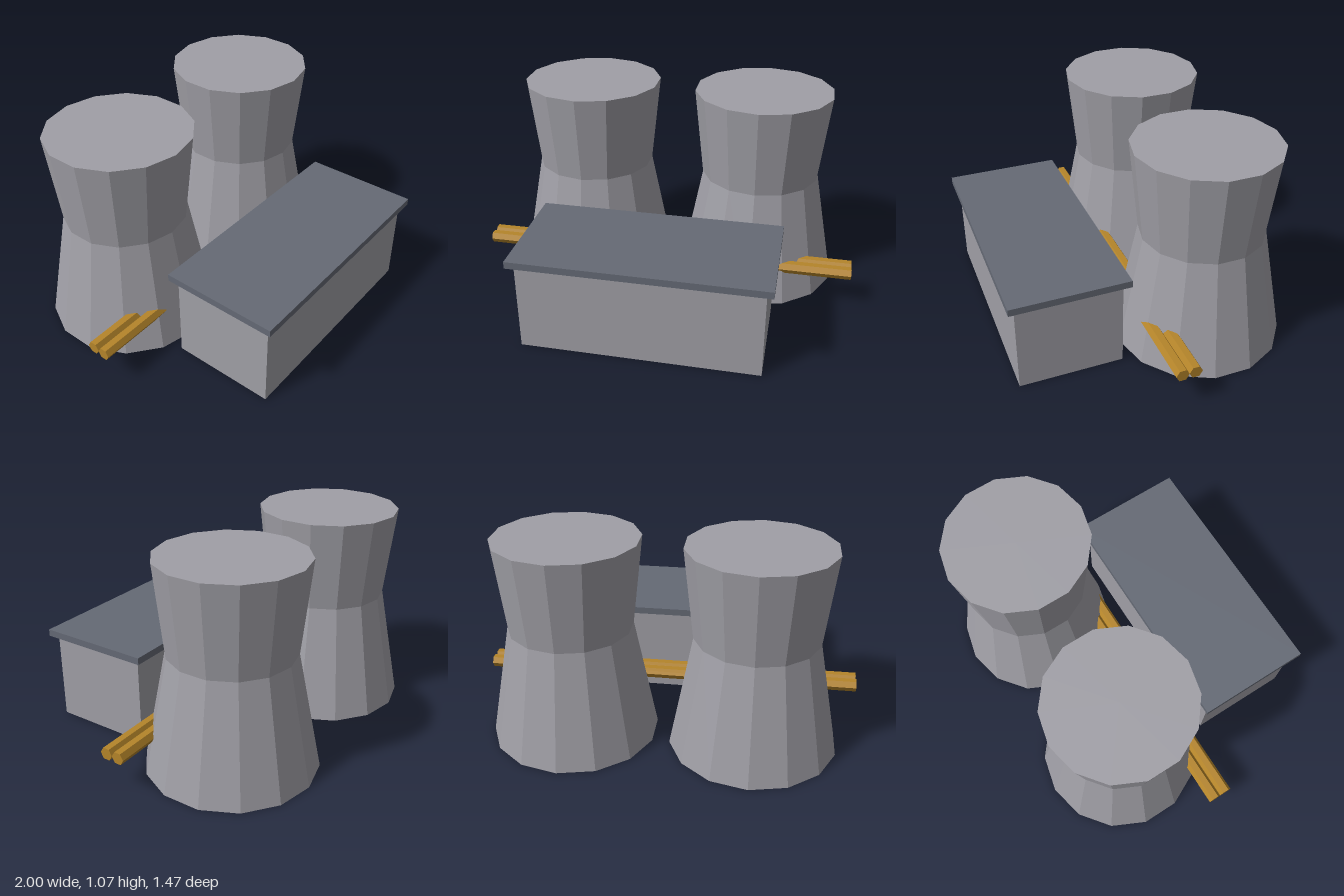
import * as THREE from 'three';

export function createModel() {
  const model = new THREE.Group();
  model.name = 'powerPlant';

  const material = (name, color) => {
    const m = new THREE.MeshStandardMaterial({ color, flatShading: true });
    m.name = name;
    return m;
  };
  const concrete = material('concrete', 0xa09fa6);
  const slate = material('slate', 0x656a75);
  const ochre = material('ochre', 0xb5852a);

  const add = (name, geometry, mat, x, y, z) => {
    const mesh = new THREE.Mesh(geometry, mat);
    mesh.name = name;
    mesh.position.set(x, y, z);
    model.add(mesh);
    return mesh;
  };

  // Cooling towers: 14-sided, pinched at the waist, closed at both ends
  const profile = [[0, 0], [0.433, 0], [0.316, 0.6], [0.367, 1.067], [0, 1.067]]
    .map(([r, y]) => new THREE.Vector2(r, y));
  const towerGeometry = new THREE.LatheGeometry(profile, 14);
  for (const [name, side] of [['leftCoolingTower', 1], ['rightCoolingTower', -1]]) {
    add(name, towerGeometry, concrete, side * 0.467, 0, -0.3);
  }

  // Turbine hall with an overhanging flat roof
  add('hall', new THREE.BoxGeometry(1.2, 0.467, 0.533), concrete, 0, 0.2335, 0.4333);
  add('hallRoof', new THREE.BoxGeometry(1.267, 0.036, 0.6), slate, 0, 0.485, 0.4333);

  // Twin hexagonal pipes running through both towers
  const pipeGeometry = new THREE.CylinderGeometry(0.0333, 0.0333, 2, 6).rotateZ(Math.PI / 2);
  for (const [name, z] of [['frontPipe', 0.0333], ['backPipe', -0.0333]]) {
    add(name, pipeGeometry, ochre, 0, 0.2, z);
  }

  return model;
}
